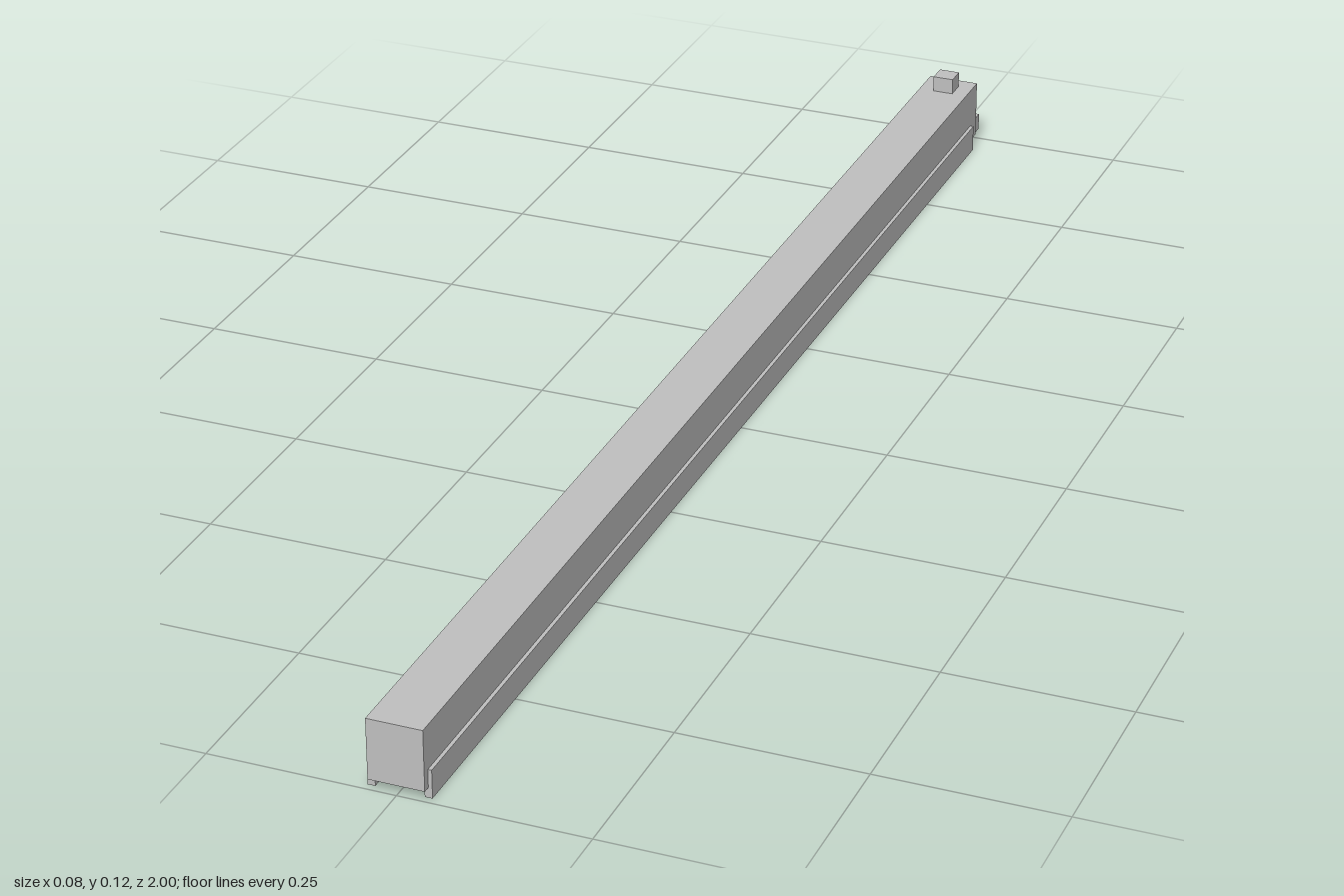
import * as THREE from 'three';

export function createModel() {
  const model = new THREE.Group();
  model.name = 'slideBar';
  const grey = new THREE.MeshStandardMaterial({ color: 0xc0c0c0 });
  grey.name = 'light grey';

  // Box given by its lower and upper bounds on each axis
  function block(name, [x0, x1], [y0, y1], [z0, z1]) {
    const mesh = new THREE.Mesh(new THREE.BoxGeometry(x1 - x0, y1 - y0, z1 - z0), grey);
    mesh.position.set((x0 + x1) / 2, (y0 + y1) / 2, (z0 + z1) / 2);
    mesh.name = name;
    model.add(mesh);
  }

  // Long main beam
  block('beam', [-0.037, 0.037], [0.014, 0.098], [-0.983, 1]);

  // Side rails hanging below the beam
  block('leftRail', [0.032, 0.042], [0, 0.039], [-0.957, 0.99]);
  block('rightRail', [-0.042, -0.032], [0, 0.039], [-0.957, 0.99]);

  // Small stud on top near the back, and the lip on the back end
  block('stud', [-0.015, 0.015], [0.098, 0.121], [-0.962, -0.933]);
  block('backLip', [-0.036, 0.036], [0.016, 0.04], [-1, -0.983]);

  return model;
}
